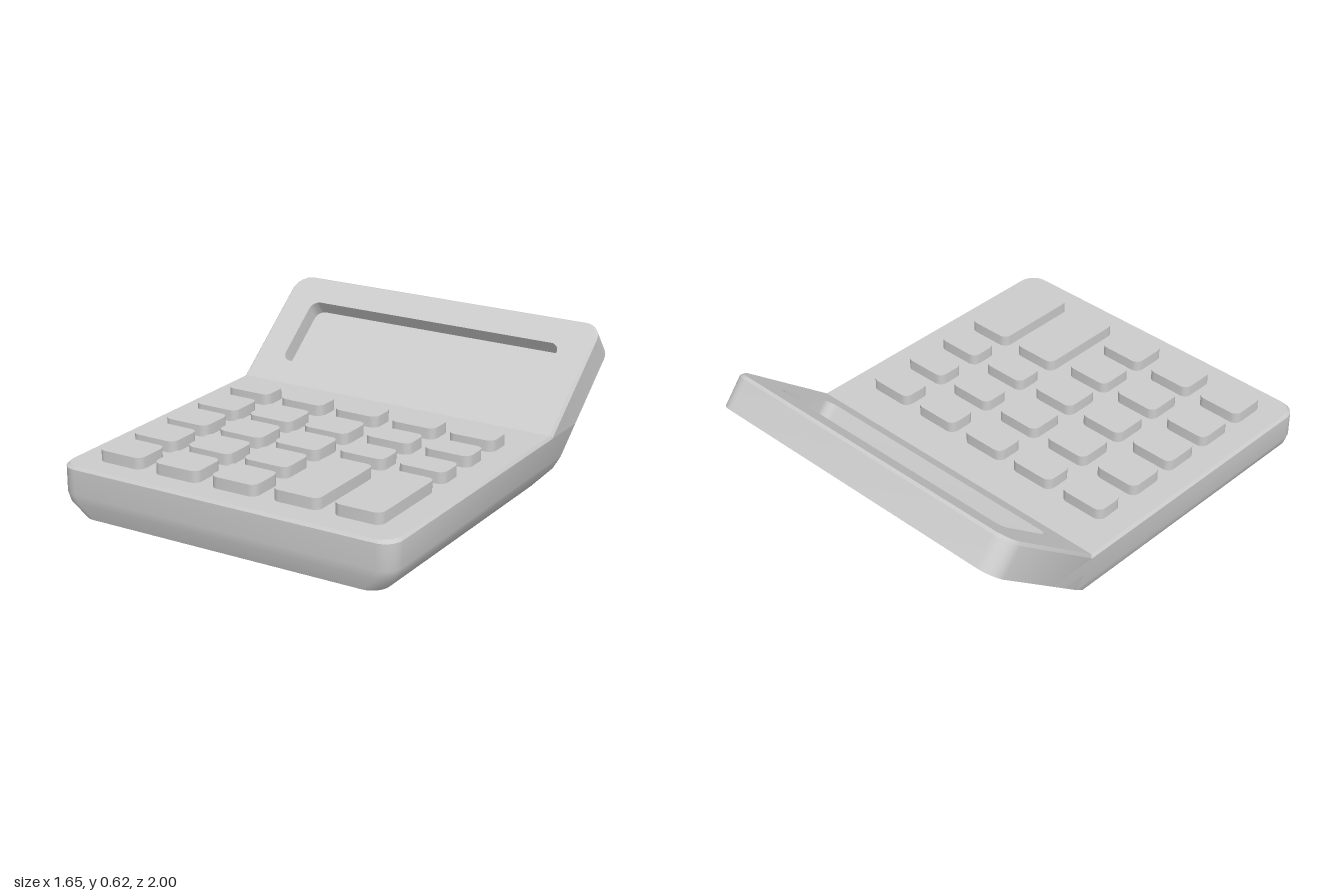
import * as THREE from 'three';
import { toCreasedNormals } from 'three/addons/utils/BufferGeometryUtils.js';

const material = new THREE.MeshStandardMaterial({ color: 0xcccccc });

// Counter-clockwise rounded rectangle with separate radii for its low and high corners
function outline(halfX, y0, y1, rLow, rHigh, steps = 8) {
  const corners = [
    [halfX - rHigh, y1 - rHigh, rHigh, 0],
    [-halfX + rHigh, y1 - rHigh, rHigh, 1],
    [-halfX + rLow, y0 + rLow, rLow, 2],
    [halfX - rLow, y0 + rLow, rLow, 3],
  ];
  const points = [];
  for (const [cx, cy, r, quarter] of corners) {
    for (let i = 0; i <= steps; i++) {
      const a = (quarter + i / steps) * Math.PI / 2;
      points.push(new THREE.Vector2(cx + r * Math.cos(a), cy + r * Math.sin(a)));
    }
  }
  return points;
}

// Skin a stack of [outline, height] rings along z, optionally capping both ends
function loft(rings, capStart, capEnd) {
  const n = rings[0][0].length;
  const positions = [], index = [];
  for (const [points, z] of rings) for (const p of points) positions.push(p.x, p.y, z);
  for (let r = 0; r < rings.length - 1; r++) {
    for (let i = 0; i < n; i++) {
      const a = r * n + i, b = r * n + (i + 1) % n;
      index.push(a, b, b + n, a, b + n, a + n);
    }
  }
  const last = (rings.length - 1) * n;
  for (let i = 1; i < n - 1; i++) {
    if (capStart) index.push(0, i + 1, i);
    if (capEnd) index.push(last, last + i, last + i + 1);
  }
  const geometry = new THREE.BufferGeometry();
  geometry.setAttribute('position', new THREE.Float32BufferAttribute(positions, 3));
  geometry.setIndex(index);
  return toCreasedNormals(geometry, 0.5);
}

function addMesh(parent, name, geometry) {
  const mesh = new THREE.Mesh(geometry, material);
  mesh.name = name;
  parent.add(mesh);
  return mesh;
}

export function createModel() {
  const model = new THREE.Group();
  model.name = 'calculator';

  const halfWidth = 0.825, deckY = 0.238, hingeZ = -0.4;
  const tilt = Math.atan2(0.786, 0.618), thickness = 0.162;

  // Base: flared bottom edge, fine top bevel, back following the display's underside
  const layers = [ // height, side inset, front inset
    [0, 0.075, 0.027], [0.07, 0.012, 0.005], [0.11, 0, 0],
    [0.225, 0, 0], [deckY, 0.012, 0.012],
  ];
  const base = addMesh(model, 'base', loft(layers.map(([y, dx, dz]) =>
    [outline(halfWidth - dx, -1 + dz, 0.36 + y * Math.tan(tilt), 0.08, 0.001), y]), true, true));
  base.rotation.x = -Math.PI / 2;

  // Display: local y runs up the slope from the hinge, local z points out of its face
  const display = new THREE.Group();
  display.name = 'display';
  display.position.set(0, deckY, hingeZ);
  display.rotation.x = -tilt;
  model.add(display);

  const rim = outline(halfWidth - 0.012, 0, 0.622, 0.001, 0.08);
  addMesh(display, 'displayHousing', loft([
    [outline(halfWidth, 0, 0.636, 0.001, 0.085), -thickness],
    [outline(halfWidth, 0, 0.634, 0.001, 0.085), -0.014],
    [rim, 0],
  ], true, false));

  // Face with the window opening, and the sunken screen behind it
  const opening = outline(0.67, 0.127, 0.485, 0.045, 0.045);
  const face = new THREE.Shape(rim);
  face.holes.push(new THREE.Path(opening));
  addMesh(display, 'displayFace', new THREE.ShapeGeometry(face));
  addMesh(display, 'screenRecess', loft([[opening, 0], [opening, -0.08]], false, true));

  // Keys: three number columns and two function columns with a tall last key
  const numberRows = [[-0.22, -0.08], [0, 0.18], [0.235, 0.415], [0.47, 0.65], [0.705, 0.885]];
  const functionRows = [[-0.22, -0.08], [0, 0.14], [0.22, 0.36], [0.43, 0.87]];
  const keys = new THREE.Group();
  keys.name = 'keys';
  model.add(keys);
  [-0.588, -0.296, -0.005, 0.29, 0.583].forEach((x, column) => {
    for (const [z0, z1] of column < 3 ? numberRows : functionRows) {
      const shape = outline(0.1125, -z1, -z0, 0.035, 0.035, 5);
      const key = addMesh(keys, 'key', loft([[shape, 0.2], [shape, 0.29]], true, true));
      key.position.x = x;
      key.rotation.x = -Math.PI / 2;
    }
  });

  return model;
}
